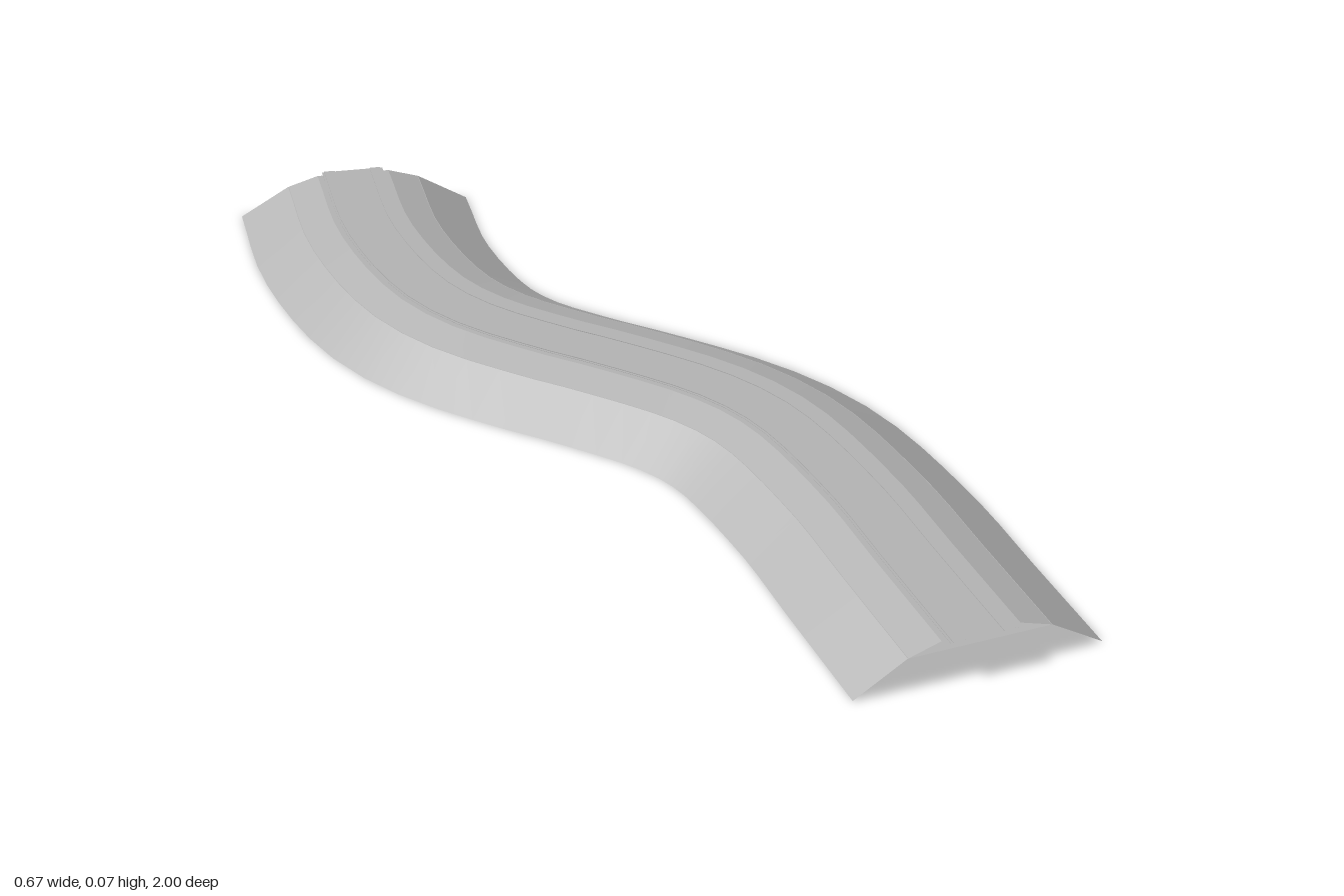
import * as THREE from 'three';

// Centre line of the S-bend, from back to front, as [x, z]
const PATH = [
  [-0.013, -0.915], [-0.093, -0.697], [-0.127, -0.46], [-0.106, -0.325], [-0.043, -0.18], [0.018, -0.065],
  [0.097, 0.115], [0.121, 0.26], [0.091, 0.512], [0.042, 0.723], [-0.012, 0.955],
];
const STEPS = 32;

// Stations along the bend: a point, its direction and the sideways direction
function makeStations() {
  const curve = new THREE.CatmullRomCurve3(PATH.map(([x, z]) => new THREE.Vector3(x, 0, z)));
  const stations = [];
  for (let i = 0; i <= STEPS; i++) {
    const p = curve.getPointAt(i / STEPS);
    const t = curve.getTangentAt(i / STEPS);
    // End directions square to the cut ends
    if (i === 0) t.set(-0.4, 0, 0.917);
    if (i === STEPS) t.set(-0.21, 0, 0.978);
    stations.push({ p, t, side: new THREE.Vector3(t.z, 0, -t.x) });
  }
  return stations;
}

// Sweep an open profile of [offset, height]; each face keeps its own vertices so its edges stay sharp
function sweep(stations, profile, overhang = 0) {
  const positions = [];
  const index = [];
  for (let j = 0; j < profile.length - 1; j++) {
    const base = positions.length / 3;
    stations.forEach(({ p, t, side }, i) => {
      const extra = i === 0 ? -overhang : i === STEPS ? overhang : 0;
      for (const [u, y] of [profile[j], profile[j + 1]]) {
        const v = p.clone().addScaledVector(t, extra).addScaledVector(side, u);
        positions.push(v.x, y, v.z);
      }
    });
    for (let i = 0; i < STEPS; i++) {
      const a = base + i * 2;
      index.push(a, a + 2, a + 1, a + 1, a + 2, a + 3);
    }
  }
  const geometry = new THREE.BufferGeometry();
  geometry.setAttribute('position', new THREE.Float32BufferAttribute(positions, 3));
  geometry.setIndex(index);
  geometry.computeVertexNormals();
  return geometry;
}

export function createModel() {
  const group = new THREE.Group();
  group.name = 'curvedEmbankment';
  const grey = new THREE.MeshStandardMaterial({ name: 'grey', color: 0xb4b4b4, side: THREE.DoubleSide });
  const stations = makeStations();

  const add = (name, profile, overhang) => {
    const mesh = new THREE.Mesh(sweep(stations, profile, overhang), grey);
    mesh.name = name;
    group.add(mesh);
  };

  // Sloping bank with a flat top, open underneath
  add('bank', [[-0.213, 0], [-0.123, 0.054], [0.123, 0.054], [0.213, 0]]);
  // Low raised bed, open at both ends
  add('bed', [[-0.122, 0.0542], [-0.067, 0.0715], [0.067, 0.0715], [0.122, 0.0542]]);
  // Thin track plate reaching slightly past the ends
  add('trackPlate', [[-0.057, 0.0715], [-0.057, 0.0722], [0.057, 0.0722], [0.057, 0.0715]], 0.012);
  // Two low rails
  for (const [name, c] of [['rightRail', -0.043], ['leftRail', 0.043]]) {
    add(name, [[c - 0.01, 0.0722], [c - 0.01, 0.0735], [c + 0.01, 0.0735], [c + 0.01, 0.0722]], 0.012);
  }
  return group;
}
